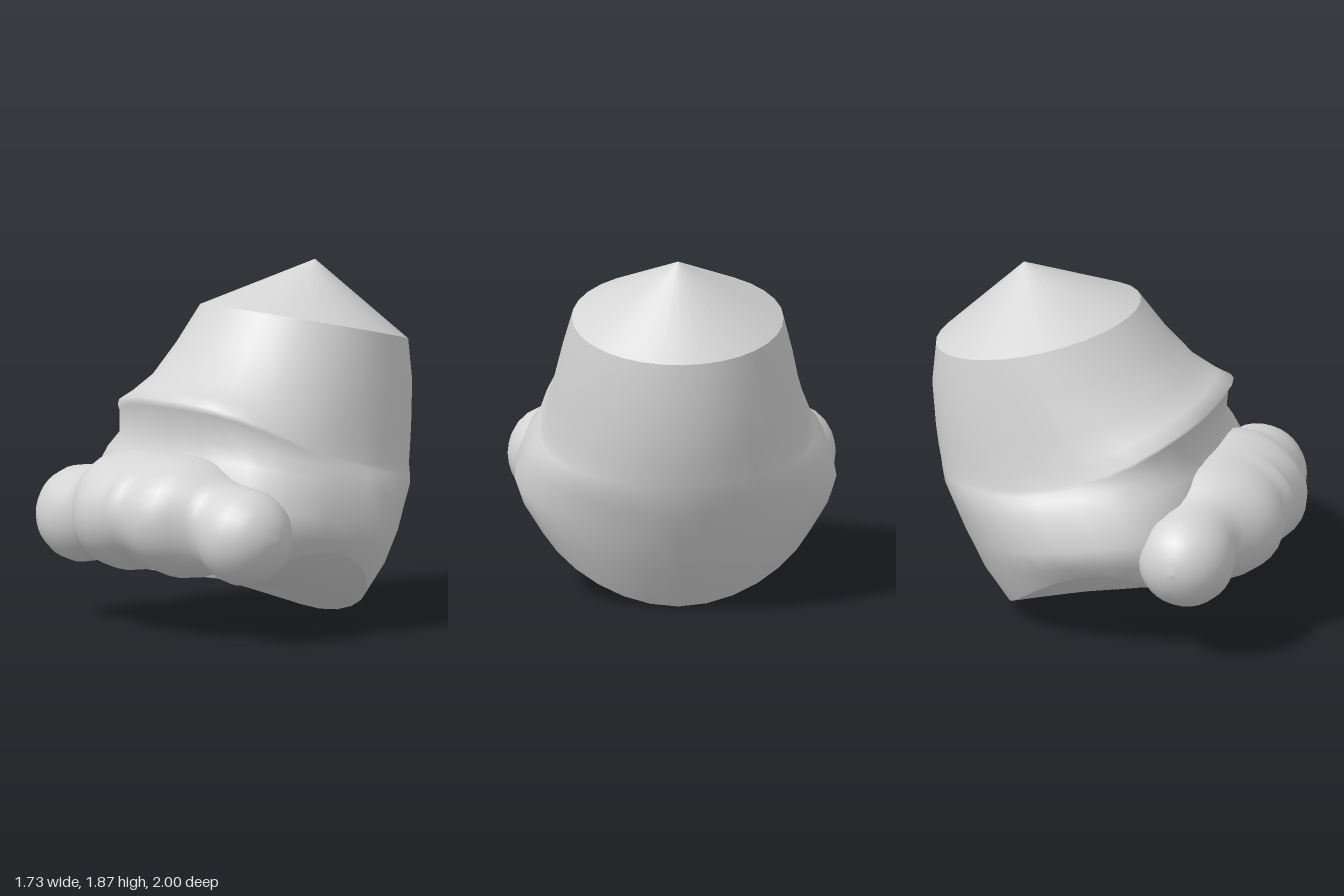
import * as THREE from 'three';

const SEGMENTS = 32;
const angles = Array.from({ length: SEGMENTS }, (_, i) => (i / SEGMENTS) * Math.PI * 2);

// One tilted, bowed cross-section.
// fy,fz = front point; by,bz = back point; w = half width;
// bow lifts the sides (flatter in the middle towards the front);
// p and q square off the front and back halves; s shrinks the ring about its centre.
function ring({ fy, fz, by, bz, w, bow = 0, p = 2, q = 2, s = 1 }) {
  return angles.map((a) => {
    const e = 2 / (Math.cos(a) > 0 ? p : q);
    const u = s * Math.sign(Math.sin(a)) * Math.abs(Math.sin(a)) ** e;
    const v = s * Math.sign(Math.cos(a)) * Math.abs(Math.cos(a)) ** e;
    return new THREE.Vector3(
      u * w,
      (fy + by) / 2 + (v * (fy - by)) / 2 + bow * Math.abs(u) ** (3 + v),
      (fz + bz) / 2 + (v * (fz - bz)) / 2
    );
  });
}

// Upright slice through the toes at x, from its top, bottom and front extents
function toeSlice([x, top, bottom, front], side) {
  const z = 0.58;
  const back = Math.min(0.26, (top - bottom) / 2);
  return angles.map((a) => new THREE.Vector3(
    side * x,
    (top + bottom) / 2 + (Math.cos(a) * (top - bottom)) / 2,
    z + Math.sin(a) * (Math.sin(a) > 0 ? front - z : back)
  ));
}

// Skin through rings listed from top to bottom, or from left to right
function loft(rings) {
  const position = rings.flat().flatMap((v) => [v.x, v.y, v.z]);
  const index = [];
  for (let r = 0; r < rings.length - 1; r++) {
    for (let i = 0; i < SEGMENTS; i++) {
      const j = (i + 1) % SEGMENTS;
      const a = r * SEGMENTS + i, b = r * SEGMENTS + j;
      const c = a + SEGMENTS, d = b + SEGMENTS;
      index.push(a, c, d, a, d, b);
    }
  }
  const geometry = new THREE.BufferGeometry();
  geometry.setAttribute('position', new THREE.Float32BufferAttribute(position, 3));
  geometry.setIndex(index);
  geometry.computeVertexNormals();
  return geometry;
}

export function createModel() {
  const group = new THREE.Group();
  const grey = new THREE.MeshStandardMaterial({ color: 0xd4d4d4 });
  grey.name = 'grey';

  const add = (name, geometry) => {
    const mesh = new THREE.Mesh(geometry, grey);
    mesh.name = name;
    group.add(mesh);
  };

  const topRim = { fy: 1.67, fz: 0.1, by: 1.42, bz: -0.98, w: 0.56 };
  const soleRim = { fy: 0.31, fz: 0.58, by: 0, bz: -0.55, w: 0.76, bow: 0.27, p: 2.3 };

  // Pointed cap closing the top of the leg
  const tip = angles.map(() => new THREE.Vector3(0, 1.87, -0.52));
  add('legCap', loft([tip, ring(topRim)]));

  // Leg flaring to the front ledge, then the paw tucked in below it
  add('legAndPaw', loft([
    topRim,
    { fy: 1.48, fz: 0.25, by: 1.2, bz: -1.0, w: 0.61, p: 2.1 },
    { fy: 1.33, fz: 0.39, by: 0.98, bz: -0.98, w: 0.655, bow: -0.05, p: 2.3 },
    { fy: 1.26, fz: 0.5, by: 0.88, bz: -0.965, w: 0.685, bow: -0.1, p: 2.5 },
    { fy: 1.225, fz: 0.58, by: 0.81, bz: -0.95, w: 0.71, bow: -0.13, p: 2.6 },
    { fy: 1.18, fz: 0.55, by: 0.76, bz: -0.94, w: 0.725, bow: -0.11, p: 2.6 },
    { fy: 1.03, fz: 0.53, by: 0.67, bz: -0.92, w: 0.75, bow: -0.03, p: 2.6 },
    { fy: 0.94, fz: 0.56, by: 0.57, bz: -0.885, w: 0.795, p: 2.8, q: 1.85 },
    { fy: 0.7, fz: 0.66, by: 0.42, bz: -0.82, w: 0.85, bow: 0.03, p: 3, q: 1.75 },
    { fy: 0.45, fz: 0.64, by: 0.2, bz: -0.7, w: 0.82, bow: 0.17, p: 2.7, q: 1.85 },
    soleRim,
  ].map(ring)));

  // Sole curving up at both sides, slightly hollow in the middle
  add('sole', loft([1, 0.85, 0.7, 0.5, 0.25, 0].map((s) => {
    const lift = 0.05 * (1 - s);
    return ring({ ...soleRim, fy: soleRim.fy + lift, by: soleRim.by + lift, s });
  })));

  // Row of four merged toes: x, top, bottom, front for one half
  const half = [
    [0, 0.95, 0.345, 0.995],
    [0.04, 0.95, 0.335, 0.975],
    [0.1, 0.95, 0.315, 0.965],
    [0.2, 0.95, 0.3, 0.985],
    [0.29, 0.94, 0.31, 0.96],
    [0.36, 0.915, 0.33, 0.905],
    [0.42, 0.88, 0.345, 0.845],
    [0.47, 0.85, 0.345, 0.815],
    [0.53, 0.83, 0.315, 0.825],
    [0.61, 0.82, 0.3, 0.84],
    [0.69, 0.807, 0.313, 0.827],
    [0.76, 0.772, 0.348, 0.792],
    [0.81, 0.725, 0.395, 0.745],
    [0.845, 0.665, 0.455, 0.685],
    [0.86, 0.615, 0.505, 0.635],
    [0.867, 0.56, 0.56, 0.58],
  ];
  add('toes', loft([
    ...half.slice(1).reverse().map((row) => toeSlice(row, 1)),
    ...half.map((row) => toeSlice(row, -1)),
  ]));

  return group;
}
